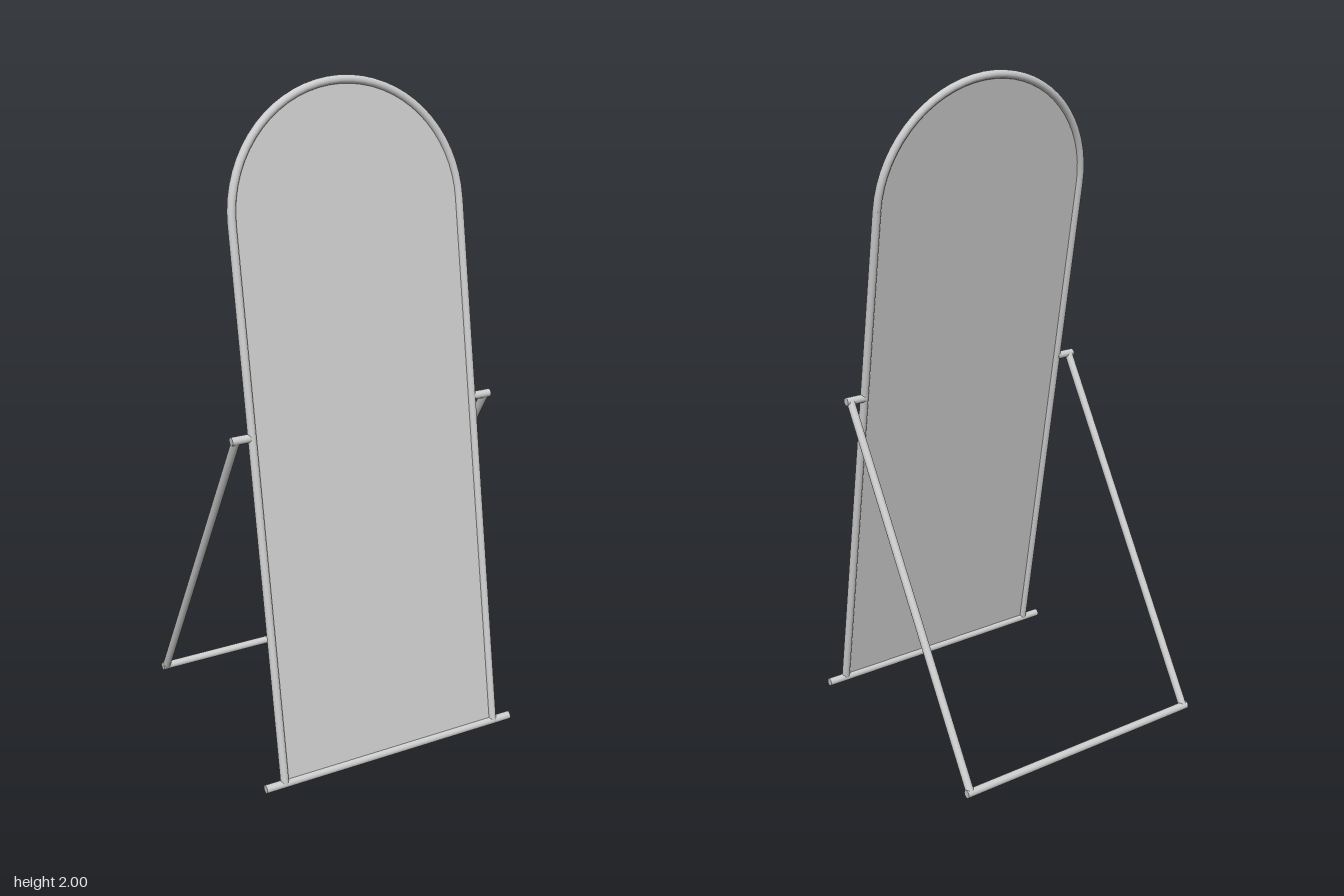
import * as THREE from 'three';

const R = 0.0125;           // tube radius
const HALF = 0.365;         // half width of the arched frame
const STRAIGHT = 1.641;     // length of the straight frame sides
const LEAN = Math.atan2(0.348, 1.975);

const material = new THREE.MeshStandardMaterial({ color: 0xcccccc, side: THREE.DoubleSide });

// Round rod between two points
function rod(name, a, b, radius = R) {
  const from = new THREE.Vector3(...a), to = new THREE.Vector3(...b);
  const dir = to.clone().sub(from);
  const mesh = new THREE.Mesh(new THREE.CylinderGeometry(radius, radius, dir.length(), 20), material);
  mesh.position.copy(from).add(to).multiplyScalar(0.5);
  mesh.quaternion.setFromUnitVectors(new THREE.Vector3(0, 1, 0), dir.normalize());
  mesh.name = name;
  return mesh;
}

export function createModel() {
  const model = new THREE.Group();
  model.name = 'standingMirror';

  // Leaning arched mirror, built upright and tilted about its foot
  const mirror = new THREE.Group();
  mirror.name = 'leaningMirror';
  mirror.position.set(0, R, 0.398);
  mirror.rotation.x = -LEAN;
  model.add(mirror);

  // Glass panel
  const outline = new THREE.Shape();
  outline.moveTo(-HALF, 0);
  outline.lineTo(HALF, 0);
  outline.lineTo(HALF, STRAIGHT);
  outline.absarc(0, STRAIGHT, HALF, 0, Math.PI, false);
  outline.closePath();
  const panel = new THREE.Mesh(
    new THREE.ExtrudeGeometry(outline, { depth: 0.004, bevelEnabled: false, curveSegments: 32 }), material);
  panel.position.z = -0.002;
  panel.name = 'mirrorPanel';
  mirror.add(panel);

  // Arched top of the frame
  const arch = new THREE.Mesh(new THREE.TorusGeometry(HALF, R, 16, 32, Math.PI), material);
  arch.position.y = STRAIGHT;
  arch.name = 'frameArch';
  mirror.add(arch);

  // Foot bars at front and back
  model.add(rod('frontFootBar', [-0.427, R, 0.397], [0.427, R, 0.397]));
  model.add(rod('rearFootBar', [-0.427, R, -0.399], [0.427, R, -0.399]));

  // Frame sides, pivot pins and rear legs
  for (const [side, s] of [['left', 1], ['right', -1]]) {
    mirror.add(rod(side + 'FrameSide', [s * HALF, 0, 0], [s * HALF, STRAIGHT, 0]));
    model.add(rod(side + 'PivotPin', [s * HALF, 1.042, 0.215], [s * 0.429, 1.042, 0.215]));
    model.add(rod(side + 'RearLeg', [s * 0.414, 1.042, 0.215], [s * 0.414, R, -0.399]));
  }
  return model;
}
